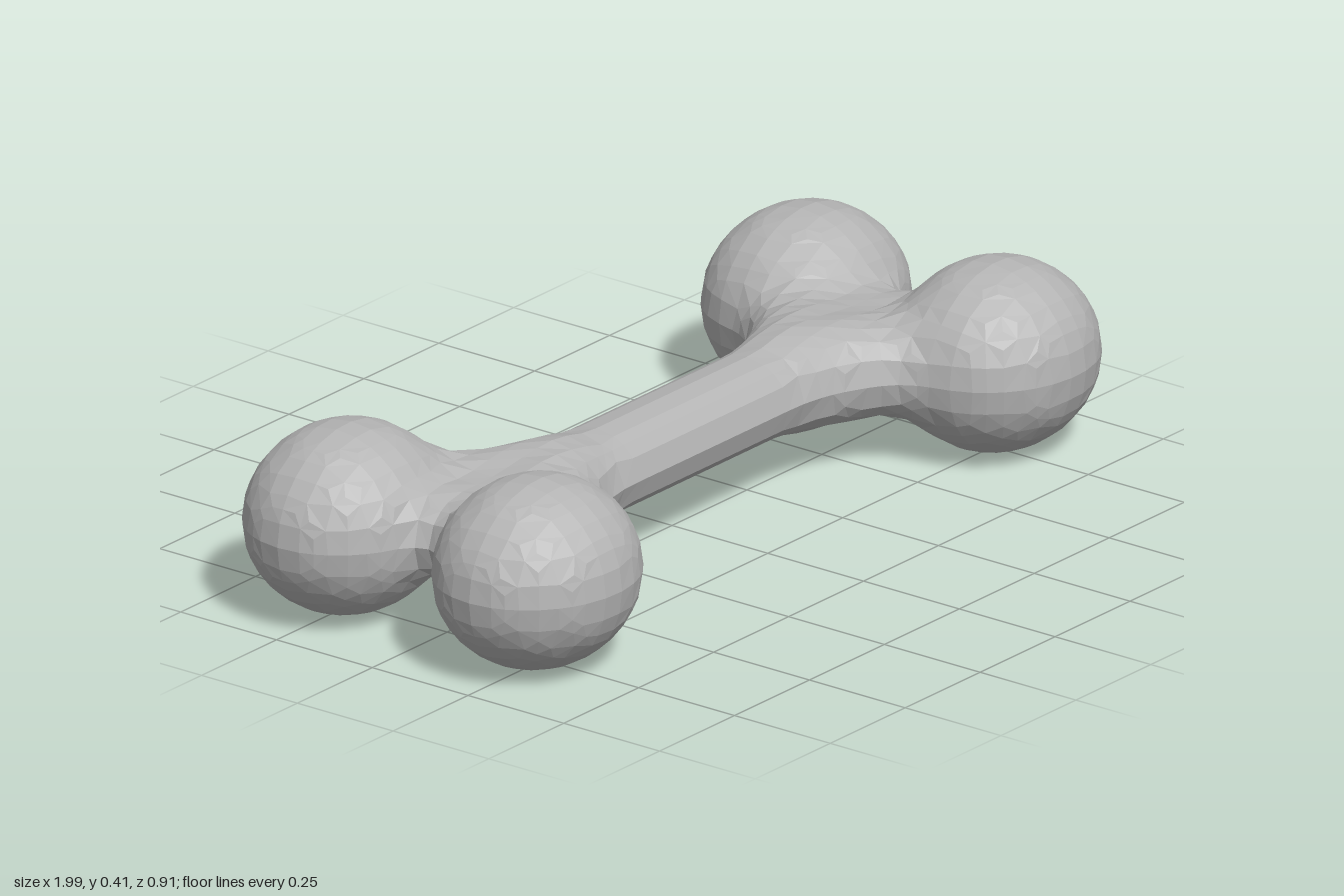
import * as THREE from 'three';

const STEP = 0.05, MID_Y = 0.203;

// Blend two distances with a soft fillet of width k
function blend(a, b, k) {
  const h = Math.max(k - Math.abs(a - b), 0);
  return Math.min(a, b) - h * h / (4 * k);
}

// Distance to a rounded bar lying level from (ax, az) to (bx, bz)
function bar(x, y, z, ax, az, bx, bz, r) {
  const dx = bx - ax, dz = bz - az;
  const t = THREE.MathUtils.clamp(((x - ax) * dx + (z - az) * dz) / (dx * dx + dz * dz), 0, 1);
  return Math.hypot(x - ax - t * dx, y, z - az - t * dz) - r;
}

// Bone volume: mirrored in x and z, negative inside
function bone(p) {
  const x = Math.abs(p.x), y = p.y - MID_Y, z = Math.abs(p.z);
  const shaft = bar(x, y / 0.84, z, 0, 0, 0.7, 0, 0.11);
  const neck = bar(x, y, z, 0.4, 0, 0.75, 0.25, 0.1);
  const knob = (Math.hypot((x - 0.765) / 0.232, y / 0.203, (z - 0.247) / 0.21) - 1) * 0.205;
  return blend(blend(shaft, neck, 0.07), knob, 0.06);
}

// Move a point onto the bone surface
function settle(p) {
  const e = 0.002, axes = ['x', 'y', 'z'];
  for (let i = 0; i < 4; i++) {
    const g = new THREE.Vector3();
    for (const a of axes) {
      const q = p.clone();
      q[a] += e;
      const high = bone(q);
      q[a] -= 2 * e;
      g[a] = (high - bone(q)) / (2 * e);
    }
    p.addScaledVector(g, -bone(p) / Math.max(g.lengthSq(), 0.1));
  }
  return p;
}

// Wrap the volume in one closed skin of quads
function skinGeometry() {
  const size = [44, 12, 22];
  // Half-step offsets keep a row of vertices on each mirror plane
  const node = (i, j, k) => new THREE.Vector3(
    (i - 21.5) * STEP, (j - 5.5) * STEP + MID_Y, (k - 10.5) * STEP);
  const positions = [], indices = [], cells = new Map();

  // One vertex per crossed cell, at the mean of its edge crossings
  function vertex(c) {
    const key = c.join();
    if (cells.has(key)) return cells.get(key);
    const sum = new THREE.Vector3();
    let count = 0;
    for (let m = 0; m < 8; m++) {
      for (let a = 0; a < 3; a++) {
        if (m & (1 << a)) continue;
        const from = c.map((v, n) => v + ((m >> n) & 1));
        const to = from.map((v, n) => v + (n === a ? 1 : 0));
        const p = node(...from), q = node(...to);
        const f = bone(p), g = bone(q);
        if ((f < 0) === (g < 0)) continue;
        sum.add(p.lerp(q, f / (f - g)));
        count++;
      }
    }
    const p = settle(sum.divideScalar(count));
    positions.push(p.x, p.y, p.z);
    cells.set(key, cells.size);
    return cells.size - 1;
  }

  for (let i = 0; i < size[0]; i++) {
    for (let j = 0; j < size[1]; j++) {
      for (let k = 0; k < size[2]; k++) {
        const here = [i, j, k], inside = bone(node(i, j, k)) < 0;
        for (let a = 0; a < 3; a++) {
          const next = here.slice();
          next[a]++;
          if (inside === (bone(node(...next)) < 0)) continue;
          const b = (a + 1) % 3, c = (a + 2) % 3;
          const quad = [[1, 1], [0, 1], [0, 0], [1, 0]].map(([u, v]) => {
            const cell = here.slice();
            cell[b] -= u;
            cell[c] -= v;
            return vertex(cell);
          });
          if (!inside) quad.reverse();
          const [p, q, r, s] = quad;
          indices.push(p, q, r, p, r, s);
        }
      }
    }
  }
  const geometry = new THREE.BufferGeometry();
  geometry.setAttribute('position', new THREE.Float32BufferAttribute(positions, 3));
  geometry.setIndex(indices);
  geometry.computeVertexNormals();
  return geometry;
}

export function createModel() {
  const model = new THREE.Group();
  model.name = 'bone';
  const boneGrey = new THREE.MeshStandardMaterial({ color: 0xb4b4b4, flatShading: true });
  boneGrey.name = 'boneGrey';

  // Shaft, necks and four knobs share one continuous skin
  const skin = new THREE.Mesh(skinGeometry(), boneGrey);
  skin.name = 'boneBody';
  model.add(skin);
  return model;
}
